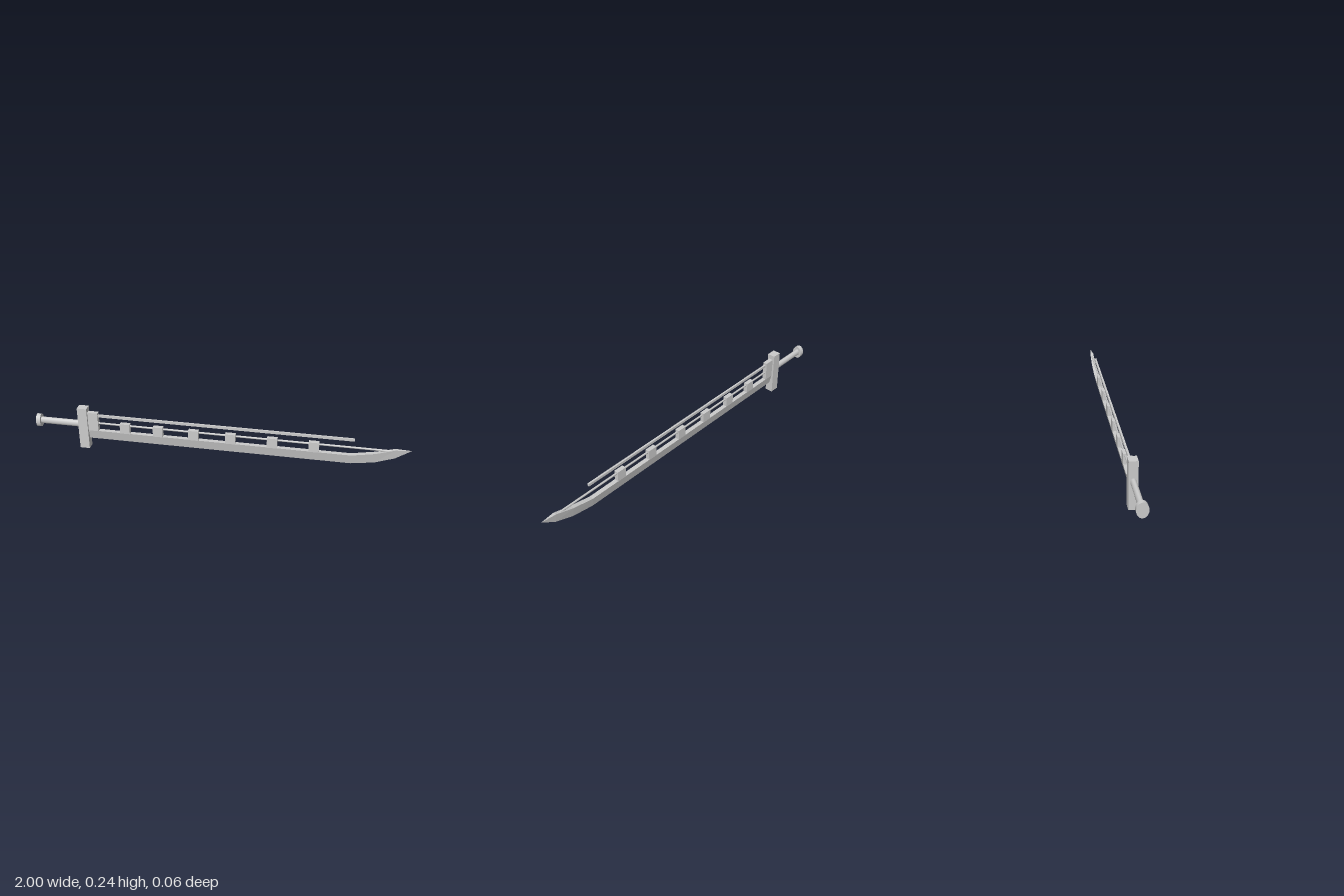
import * as THREE from 'three';

const material = new THREE.MeshStandardMaterial({ color: 0xcccccc });
const flat = new THREE.MeshStandardMaterial({ color: 0xcccccc, flatShading: true });

// Box given by its extents in x and y and its half depth
function bar(name, x0, x1, y0, y1, halfZ) {
  const mesh = new THREE.Mesh(new THREE.BoxGeometry(x1 - x0, y1 - y0, halfZ * 2), material);
  mesh.position.set((x0 + x1) / 2, (y0 + y1) / 2, 0);
  mesh.name = name;
  return mesh;
}

// Elliptical rod lying along x
function rod(name, x0, x1, y, ry, rz, sides) {
  const geometry = new THREE.CylinderGeometry(1, 1, x1 - x0, sides);
  geometry.rotateZ(-Math.PI / 2);
  geometry.scale(1, ry, rz);
  const mesh = new THREE.Mesh(geometry, material);
  mesh.position.set((x0 + x1) / 2, y, 0);
  mesh.name = name;
  return mesh;
}

// Wedge blade lofted through triangular sections: [x, edge y, spine y, half width]
function bladeGeometry(sections) {
  const rings = sections.map(([x, edge, spine, w]) => [[x, edge, 0], [x, spine, w], [x, spine, -w]]);
  const points = [];
  const tri = (a, b, c) => points.push(...a, ...b, ...c);
  for (let i = 0; i < rings.length - 1; i++) {
    const a = rings[i], b = rings[i + 1];
    for (let j = 0; j < 3; j++) {
      const k = (j + 1) % 3;
      tri(a[j], b[j], b[k]);
      tri(a[j], b[k], a[k]);
    }
  }
  tri(...rings[0]);
  const geometry = new THREE.BufferGeometry();
  geometry.setAttribute('position', new THREE.Float32BufferAttribute(points, 3));
  geometry.computeVertexNormals();
  return geometry;
}

export function createModel() {
  const sword = new THREE.Group();
  sword.name = 'sword';

  // Grip and guard
  sword.add(rod('pommel', -1, -0.976, 0.137, 0.037, 0.028, 32));
  sword.add(rod('handle', -0.977, -0.755, 0.139, 0.019, 0.014, 32));
  sword.add(bar('guard', -0.76, -0.707, 0, 0.241, 0.022));

  // Blade with upswept point
  const blade = new THREE.Mesh(bladeGeometry([
    [-0.71, 0.055, 0.109, 0.012],
    [0.70, 0.055, 0.109, 0.012],
    [0.82, 0.074, 0.132, 0.012],
    [0.92, 0.110, 0.162, 0.009],
    [1.0, 0.163, 0.163, 0],
  ]), flat);
  blade.name = 'blade';
  sword.add(blade);

  // Collar and teeth on the spine
  sword.add(bar('collar', -0.71, -0.651, 0.107, 0.215, 0.012));
  for (const x of [-0.503, -0.321, -0.128, 0.07, 0.291, 0.508]) {
    sword.add(bar('tooth', x - 0.027, x + 0.027, 0.107, 0.163, 0.012));
  }

  // Rod threaded through the teeth and free rail above them
  sword.add(rod('lowerRod', -0.66, 0.91, 0.151, 0.006, 0.005, 8));
  sword.add(bar('upperRail', -0.66, 0.712, 0.189, 0.203, 0.005));

  return sword;
}
